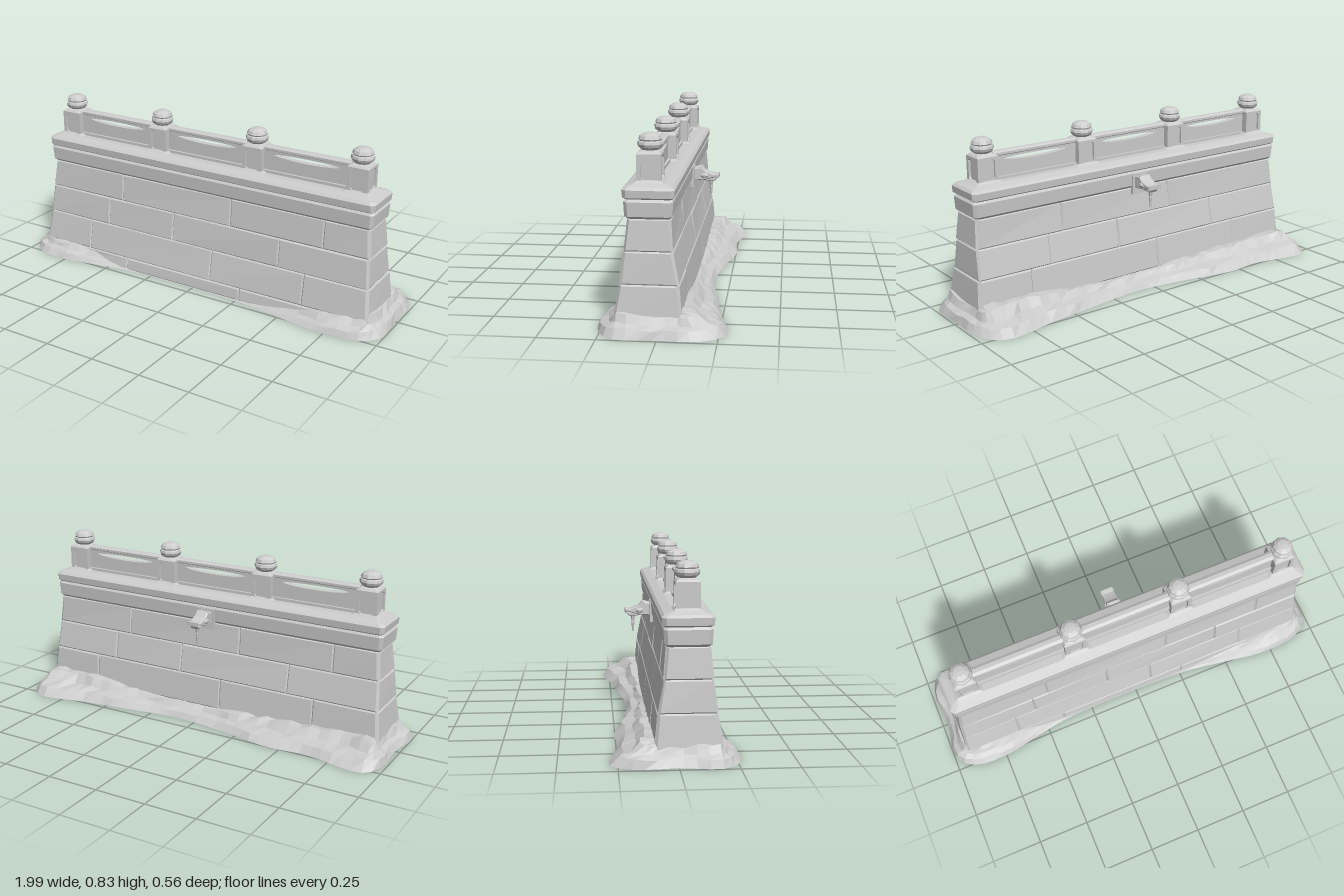
import * as THREE from 'three';

const stone = new THREE.MeshStandardMaterial({ color: 0xcccccc, flatShading: true, side: THREE.DoubleSide });
stone.name = 'pale stone';

const V = (x, y, z) => new THREE.Vector3(x, y, z);

let seed = 7;
const jitter = (s) => {
  seed = (seed * 16807) % 2147483647;
  return (seed / 2147483647 - 0.5) * 2 * s;
};

function add(parent, name, geo, x = 0, y = 0, z = 0) {
  const g = geo.index ? geo.toNonIndexed() : geo;
  g.computeVertexNormals();
  const m = new THREE.Mesh(g, stone);
  m.name = name;
  m.position.set(x, y, z);
  parent.add(m);
  return m;
}

// Skin closed rings of points, optionally closing the last ring
function loft(rings, cap = true) {
  const n = rings[0].length, pos = [], idx = [];
  rings.forEach((r) => r.forEach((p) => pos.push(p.x, p.y, p.z)));
  for (let i = 0; i < rings.length - 1; i++) {
    for (let j = 0; j < n; j++) {
      const k = (j + 1) % n, a = i * n + j, b = i * n + k;
      idx.push(a, b, b + n, a, b + n, a + n);
    }
  }
  const last = (rings.length - 1) * n;
  if (cap) for (let j = 1; j < n - 1; j++) idx.push(last, last + j, last + j + 1);
  const g = new THREE.BufferGeometry();
  g.setAttribute('position', new THREE.Float32BufferAttribute(pos, 3));
  g.setIndex(idx);
  return g;
}

// Rectangle ring with cut corners: half width X, front zf, back zb
function ring(y, X, zf, zb, c) {
  return [[-X + c, zf], [X - c, zf], [X, zf - c], [X, zb + c],
    [X - c, zb], [-X + c, zb], [-X, zb + c], [-X, zf - c]].map(([x, z]) => V(x, y, z));
}

// One bevelled face stone; corners run counterclockwise seen from outside
function faceStone(parent, corners, normal) {
  const b = 0.006;
  const [A, B, C, D] = corners;
  const right = B.clone().sub(A).normalize(), up = D.clone().sub(A).normalize();
  const signs = [[1, 1], [-1, 1], [-1, -1], [1, -1]];
  const top = corners.map((p, i) => p.clone()
    .addScaledVector(right, signs[i][0] * b)
    .addScaledVector(up, signs[i][1] * b)
    .addScaledVector(normal, b + jitter(0.0025)));
  add(parent, 'wallStone', loft([[A, B, C, D], top]));
}

function buildWall() {
  const wall = new THREE.Group();
  wall.name = 'masonryWall';
  // Course heights with half length, front and back: [y, x, zFront, zBack]
  const levels = [[0, 0.93, 0.195, -0.1], [0.06, 0.92, 0.187, -0.094], [0.21, 0.906, 0.16, -0.08],
    [0.35, 0.896, 0.143, -0.055], [0.487, 0.884, 0.128, -0.042]];
  const joints = [[-0.4, 0.26], [-0.64, 0.09, 0.59], [-0.53, -0.14, 0.45], [-0.45, 0.18, 0.67]];
  for (let i = 0; i < 4; i++) {
    const [y0, X0, f0, b0] = levels[i], [y1, X1, f1, b1] = levels[i + 1];
    const cuts = [null, ...joints[i], null];
    for (let j = 0; j < cuts.length - 1; j++) {
      const l0 = cuts[j] ?? -X0, l1 = cuts[j] ?? -X1, r0 = cuts[j + 1] ?? X0, r1 = cuts[j + 1] ?? X1;
      faceStone(wall, [V(l0, y0, f0), V(r0, y0, f0), V(r1, y1, f1), V(l1, y1, f1)], V(0, 0, 1));
      faceStone(wall, [V(-l0, y0, b0), V(-r0, y0, b0), V(-r1, y1, b1), V(-l1, y1, b1)], V(0, 0, -1));
    }
    faceStone(wall, [V(X0, y0, f0), V(X0, y0, b0), V(X1, y1, b1), V(X1, y1, f1)], V(1, 0, 0));
    faceStone(wall, [V(-X0, y0, b0), V(-X0, y0, f0), V(-X1, y1, f1), V(-X1, y1, b1)], V(-1, 0, 0));
  }
  // Frieze and overhanging cornice
  add(wall, 'frieze', loft([ring(0.485, 0.886, 0.13, -0.044, 0.01), ring(0.497, 0.902, 0.143, -0.056, 0.015),
    ring(0.558, 0.906, 0.146, -0.06, 0.015), ring(0.57, 0.896, 0.137, -0.052, 0.015)]));
  add(wall, 'cornice', loft([ring(0.568, 0.896, 0.137, -0.052, 0.01), ring(0.576, 0.908, 0.15, -0.064, 0.015),
    ring(0.608, 0.911, 0.153, -0.067, 0.018), ring(0.619, 0.9, 0.142, -0.056, 0.018),
    ring(0.63, 0.868, 0.108, -0.02, 0.01)]));
  return wall;
}

// Square post with recessed panels and a carved knob
function buildPost(x) {
  const post = new THREE.Group();
  post.name = 'railingPost';
  const h = 0.052, yb = 0.628, yt = 0.748;
  add(post, 'postBase', loft([ring(0.622, 0.08, 0.075, -0.07, 0.004), ring(0.64, h, h, -h, 0.004)]));
  add(post, 'postCore', new THREE.BoxGeometry(0.084, yt - yb, 0.084), 0, (yb + yt) / 2, 0);
  const face = new THREE.Shape([[-h, yb], [h, yb], [h, yt], [-h, yt]].map((p) => new THREE.Vector2(...p)));
  const w = 0.034, c = 0.009, lo = 0.64, hi = 0.736;
  face.holes.push(new THREE.Path([[-w, lo + c], [-w, hi - c], [-w + c, hi], [w - c, hi], [w, hi - c],
    [w, lo + c], [w - c, lo], [-w + c, lo]].map((p) => new THREE.Vector2(...p))));
  for (let i = 0; i < 4; i++) {
    const g = new THREE.ExtrudeGeometry(face, { depth: 0.01, bevelEnabled: false });
    g.translate(0, 0, h - 0.01);
    g.rotateY(i * Math.PI / 2);
    add(post, 'postPanelFrame', g);
  }
  add(post, 'postCap', loft([ring(yt, h, h, -h, 0.004), ring(0.756, 0.045, 0.045, -0.045, 0.006),
    ring(0.762, 0.034, 0.034, -0.034, 0.008)]));
  const profile = [[0.032, 0.758], [0.05, 0.773], [0.055, 0.785], [0.052, 0.796], [0.046, 0.8],
    [0.05, 0.806], [0.044, 0.82], [0.026, 0.831], [0, 0.834]];
  add(post, 'postKnob', new THREE.LatheGeometry(profile.map((p) => new THREE.Vector2(...p)), 10));
  post.position.set(x, 0, 0.045);
  return post;
}

// Low panel with a lens-shaped opening under a handrail
function buildRailing(x) {
  const rail = new THREE.Group();
  rail.name = 'railingSpan';
  const L = 0.22;
  const s = new THREE.Shape([[-L, 0.625], [L, 0.625], [L, 0.742], [-L, 0.742]].map((p) => new THREE.Vector2(...p)));
  const hole = new THREE.Path();
  hole.moveTo(-0.17, 0.72);
  hole.bezierCurveTo(-0.13, 0.7, 0.13, 0.7, 0.17, 0.72);
  hole.bezierCurveTo(0.12, 0.73, -0.12, 0.73, -0.17, 0.72);
  s.holes.push(hole);
  add(rail, 'railingPanel', new THREE.ExtrudeGeometry(s, { depth: 0.03, bevelEnabled: false, curveSegments: 10 }), 0, 0, -0.015);
  add(rail, 'railingFoot', new THREE.BoxGeometry(2 * L, 0.018, 0.055), 0, 0.634, 0);
  const bar = new THREE.CylinderGeometry(1, 1, 2 * L, 8);
  bar.rotateY(Math.PI / 8);
  bar.rotateZ(Math.PI / 2);
  bar.scale(1, 0.014, 0.025);
  add(rail, 'handrail', bar, 0, 0.747, 0);
  rail.position.set(x, 0, 0.045);
  return rail;
}

// Carved animal-head water spout on the back
function buildSpout() {
  const spout = new THREE.Group();
  spout.name = 'waterSpout';
  add(spout, 'spoutPlate', new THREE.BoxGeometry(0.09, 0.1, 0.03), 0, 0.505, -0.05);
  const jaw = (name, pts, half) => {
    const g = new THREE.ExtrudeGeometry(new THREE.Shape(pts.map(([z, y]) => new THREE.Vector2(-z, y))),
      { depth: half * 2 - 0.012, bevelSize: 0.004, bevelThickness: 0.006, bevelSegments: 1 });
    g.translate(0, 0, -half + 0.006);
    g.rotateY(Math.PI / 2);
    add(spout, name, g);
  };
  jaw('spoutHead', [[-0.055, 0.49], [-0.12, 0.495], [-0.165, 0.507], [-0.182, 0.505], [-0.182, 0.516],
    [-0.162, 0.514], [-0.138, 0.522], [-0.115, 0.532], [-0.1, 0.548], [-0.055, 0.54]], 0.033);
  jaw('spoutLowerJaw', [[-0.1, 0.492], [-0.128, 0.488], [-0.165, 0.488], [-0.172, 0.496], [-0.12, 0.502]], 0.024);
  for (const side of [-1, 1]) {
    const horn = add(spout, 'spoutHorn', new THREE.ConeGeometry(0.012, 0.045, 5), side * 0.024, 0.547, -0.088);
    horn.rotation.set(-1.1, 0, -side * 0.3);
    const cheek = add(spout, 'spoutCheek', new THREE.IcosahedronGeometry(0.02, 0), side * 0.03, 0.512, -0.115);
    cheek.scale.set(0.6, 0.8, 1.2);
  }
  add(spout, 'icicle', new THREE.LatheGeometry([[0, 0.403], [0.004, 0.405], [0.006, 0.43], [0.008, 0.45],
    [0.007, 0.46], [0.012, 0.485], [0.012, 0.495]].map((p) => new THREE.Vector2(...p)), 6), 0, 0, -0.146);
  return spout;
}

// Drifted mound around the foot: outline x, z and height against the wall
function buildMound() {
  const outline = [[-0.92, 0.255, 0.07], [-0.75, 0.27, 0.065], [-0.55, 0.235, 0.04], [-0.38, 0.21, 0.004],
    [0.27, 0.212, 0.004], [0.5, 0.245, 0.035], [0.72, 0.275, 0.065], [0.92, 0.25, 0.08], [0.99, 0.18, 0.095],
    [0.985, 0, 0.085], [0.98, -0.18, 0.09], [0.9, -0.28, 0.1], [0.62, -0.24, 0.095], [0.4, -0.21, 0.075],
    [0.1, -0.175, 0.06], [-0.17, -0.205, 0.07], [-0.45, -0.255, 0.085], [-0.62, -0.24, 0.09],
    [-0.93, -0.28, 0.1], [-0.985, -0.17, 0.09], [-0.975, 0, 0.08], [-0.995, 0.18, 0.09]];
  const curve = new THREE.CatmullRomCurve3(outline.map(([x, z, h]) => V(x, h, z)), true, 'centripetal');
  const outer = curve.getSpacedPoints(90).slice(0, 90);
  const steps = [[0, 0], [0.2, 0.42], [0.48, 0.58], [0.68, 0.95], [1, 1]];
  const clamp = THREE.MathUtils.clamp;
  const rings = steps.map(([t, rise]) => outer.map((p, i) => {
    const ix = clamp(p.x, -0.9, 0.9), iz = clamp(p.z, -0.08, 0.17);
    const wave = t > 0 && t < 1 ? 0.07 * Math.sin(i * 0.9 + t * 4) + jitter(0.05) : 0;
    const k = clamp(t + wave, 0, 1);
    const y = Math.max(0, p.y) * rise * (1 + (t > 0 ? jitter(0.1) : 0));
    return V(p.x + (ix - p.x) * k, y, p.z + (iz - p.z) * k);
  }));
  return loft(rings, false);
}

export function createModel() {
  const model = new THREE.Group();
  model.name = 'stoneParapetWall';
  model.add(buildWall());
  for (const x of [-0.8, -0.267, 0.267, 0.8]) model.add(buildPost(x));
  for (const x of [-0.533, 0, 0.533]) model.add(buildRailing(x));
  model.add(buildSpout());
  add(model, 'groundMound', buildMound());
  return model;
}
